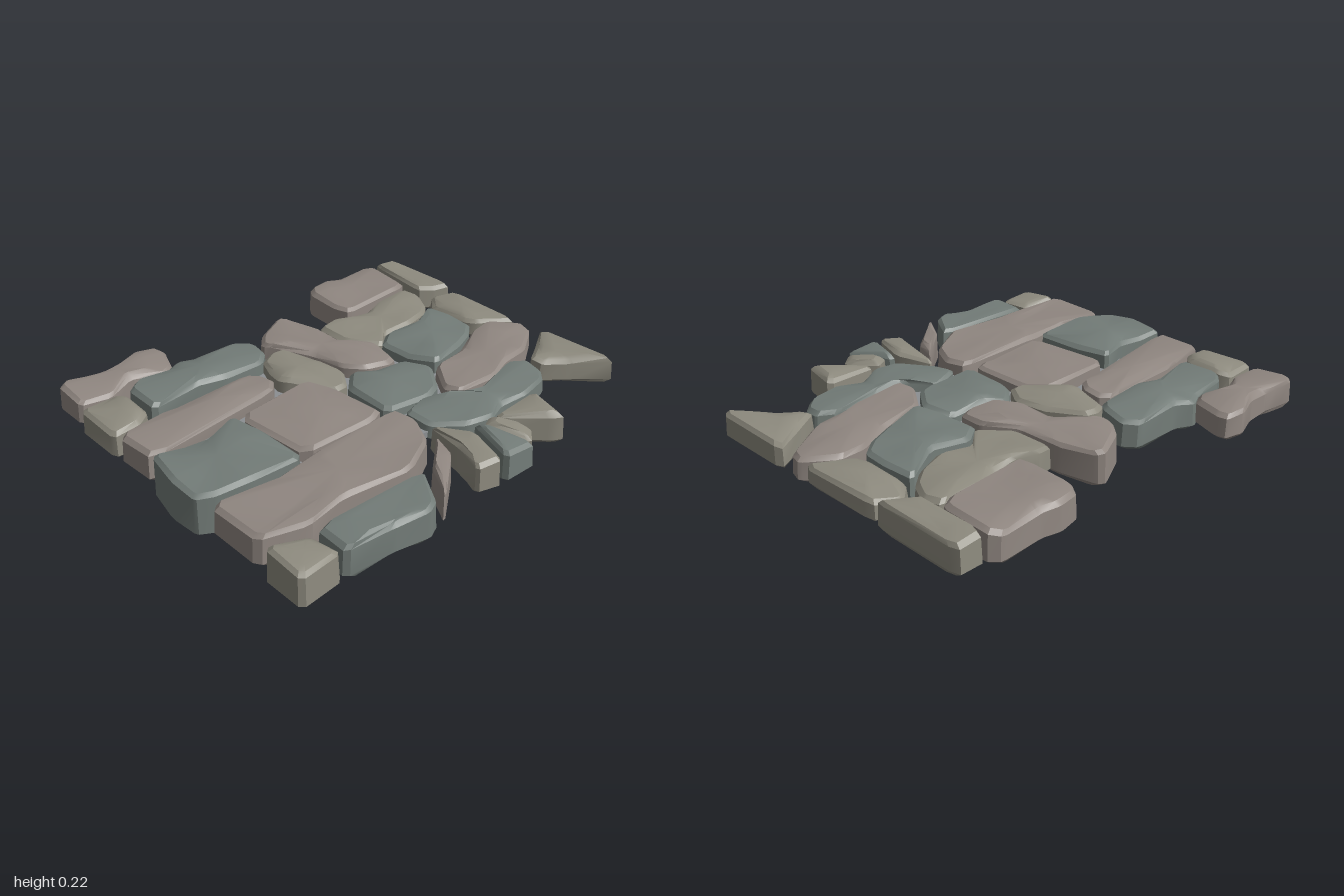
import * as THREE from 'three';
import { toCreasedNormals } from 'three/addons/utils/BufferGeometryUtils.js';

const OLIVE = 0x8d8a7e, TAN = 0x8f8680, SLATE = 0x727b77;

// Chips every outline corner and makes all outlines run the same way round
function wornOutline(flat) {
  const pts = [];
  for (let i = 0; i < flat.length; i += 2) pts.push(new THREE.Vector2(flat[i], flat[i + 1]));
  if (THREE.ShapeUtils.area(pts) < 0) pts.reverse();
  return pts.flatMap((p, i) => {
    const prev = pts.at(i - 1), next = pts[(i + 1) % pts.length];
    return [p.clone().lerp(prev, 0.1), p.clone().lerp(next, 0.1)];
  });
}

// Stone from stacked rings: undercut base, upright side, worn rim, uneven top
function stoneGeometry(flat, y0, y1, tilt = 0) {
  const outline = wornOutline(flat), n = outline.length;
  const c = outline.reduce((s, p) => s.add(p), new THREE.Vector2()).divideScalar(n);
  const inset = d => outline.map(p => {
    const v = c.clone().sub(p);
    return p.clone().addScaledVector(v, Math.min(d / v.length(), 0.5));
  });
  const wave = p => 0.007 * Math.sin(p.x * 17 + p.y * 9) + 0.004 * Math.sin(p.y * 23);
  const rings = [
    inset(0.03).map(p => [p.x, y0 + tilt * (p.y - c.y), p.y]),
    outline.map(p => [p.x, y0 + 0.02 + tilt * (p.y - c.y), p.y]),
    inset(0.006).map(p => [p.x, y1 - 0.024 + wave(p), p.y]),
    inset(0.026).map(p => [p.x, y1 - 0.008 + wave(p), p.y]),
    outline.map(p => p.clone().lerp(c, 0.45)).map(p => [p.x, y1 + wave(p), p.y]),
  ];
  const pos = rings.flat(2);
  pos.push(c.x, y0, c.y, c.x, y1 + wave(c), c.y);
  const base = rings.length * n, crown = base + 1, top = (rings.length - 1) * n, index = [];
  for (let i = 0; i < n; i++) {
    const j = (i + 1) % n;
    for (let r = 0; r < top; r += n) index.push(r + j, r + i, r + n + i, r + j, r + n + i, r + n + j);
    index.push(base, i, j, crown, top + j, top + i);
  }
  const g = new THREE.BufferGeometry();
  g.setAttribute('position', new THREE.Float32BufferAttribute(pos, 3));
  g.setIndex(index);
  return toCreasedNormals(g, 0.45);
}

export function createModel() {
  const group = new THREE.Group();
  group.name = 'stonePaving';
  const materials = {};
  const stone = (name, color, y0, y1, outline, tilt) => {
    materials[color] ??= new THREE.MeshStandardMaterial({ color });
    const mesh = new THREE.Mesh(stoneGeometry(outline, y0, y1, tilt), materials[color]);
    mesh.name = name;
    group.add(mesh);
  };

  // Back row
  stone('backLeftStone', TAN, 0.06, 0.19, [-.97, -.8, -.94, -.83, -.85, -.82, -.78, -.81, -.65, -.82, -.54, -.86,
    -.45, -.84, -.44, -.79, -.49, -.65, -.54, -.62, -.7, -.66, -.83, -.61, -.97, -.63]);
  stone('leftSquareStone', OLIVE, 0.05, 0.19, [-.99, -.6, -.81, -.61, -.78, -.56, -.79, -.38, -.86, -.33, -.99, -.33]);
  stone('backSlateStone', SLATE, 0.05, 0.2, [-.77, -.57, -.71, -.62, -.55, -.63, -.47, -.67, -.39, -.63, -.15, -.63,
    -.1, -.57, -.13, -.45, -.18, -.4, -.4, -.38, -.53, -.42, -.77, -.38]);
  stone('backTallStone', TAN, 0.045, 0.19, [-.09, -.55, -.03, -.62, .13, -.7, .16, -.68, .21, -.52, .22, -.32,
    .31, -.18, .29, -.05, .24, -.03, .12, -.05, .05, -.14, .03, -.32, -.09, -.52], 0.06);
  stone('backRightStone', TAN, 0.06, 0.2, [.4, -.77, .44, -.83, .54, -.85, .62, -.83, .82, -.84, .86, -.8, .84, -.56,
    .78, -.53, .41, -.5, .39, -.58]);
  stone('backRightEdgeStone', OLIVE, 0.07, 0.205, [.87, -.81, .99, -.81, .99, -.38, .91, -.41, .84, -.46]);

  // Middle rows
  stone('leftLongStone', TAN, 0.05, 0.19, [-.98, -.31, -.75, -.35, -.28, -.37, -.24, -.33, -.24, -.25, -.29, -.19, -.97, -.09]);
  stone('centerOliveStone', OLIVE, 0.05, 0.19, [-.24, -.24, -.22, -.32, -.18, -.42, -.11, -.45, -.05, -.44, .03, -.25,
    .04, -.11, -.03, -.01, -.09, -.01, -.23, -.2]);
  stone('rightOliveStone', OLIVE, 0.05, 0.18, [.22, -.5, .3, -.51, .4, -.48, .51, -.49, .63, -.53, .82, -.53, .84, -.45,
    .79, -.35, .72, -.29, .58, -.24, .42, -.26, .33, -.18, .22, -.32]);
  stone('rightEdgeStone', OLIVE, 0.08, 0.18, [.79, -.32, .88, -.41, .99, -.36, .99, .06, .82, -.04, .79, -.1]);
  stone('rightSlateStone', SLATE, 0.04, 0.19, [.32, -.18, .41, -.25, .6, -.23, .77, -.32, .79, -.18, .78, -.05, .7, .02,
    .58, .07, .38, .12, .33, 0]);
  stone('rightTanStone', TAN, 0.06, 0.18, [.25, .28, .35, .13, .56, .08, .75, -.01, .87, -.02, .99, .09, .97, .16,
    .79, .28, .62, .31, .5, .35, .27, .35]);
  stone('centerSlateStone', SLATE, 0.04, 0.18, [-.05, 0, .05, -.1, .13, -.04, .32, -.03, .36, .11, .26, .25, .18, .28, -.06, .26]);
  stone('leftSlateStone', SLATE, 0, 0.205, [-1.01, .1, -.97, -.09, -.86, -.08, -.72, -.06, -.56, -.11, -.53, .05, -.53, .3,
    -.8, .31, -.93, .28, -1, .24]);
  stone('leftTanStone', TAN, 0.04, 0.19, [-.54, -.12, -.15, -.16, -.08, -.05, -.07, .24, -.13, .27, -.51, .28]);

  // Front rows
  stone('rightWedgeStone', OLIVE, 0.065, 0.19, [.99, .2, .99, .64, .83, .5, .73, .42, .72, .36, .82, .3]);
  stone('frontSlateStone', SLATE, 0.07, 0.175, [0, .3, .13, .25, .24, .34, .4, .36, .65, .31, .72, .36, .71, .44, .65, .5,
    .5, .54, .36, .52, .24, .57, .12, .54, .01, .42]);
  stone('frontLongStone', TAN, 0.05, 0.19, [-.98, .3, -.73, .33, -.5, .29, -.03, .28, -.01, .38, -.08, .52, -.27, .63,
    -.6, .6, -.78, .62, -.98, .58]);
  stone('frontLeftCornerStone', OLIVE, 0.015, 0.18, [-.98, .61, -.8, .65, -.78, .8, -.98, .82]);
  stone('frontLeftSlateStone', SLATE, 0.03, 0.18, [-.77, .64, -.24, .65, -.34, .82, -.4, .85, -.56, .82, -.78, .81]);
  stone('frontTanSliver', TAN, 0.035, 0.185, [-.03, .51, -.07, .64, -.31, .83, -.22, .67, -.1, .57]);
  stone('frontOliveSliver', OLIVE, 0.035, 0.185, [.01, .43, .1, .6, .03, .81, -.08, .78, -.03, .62]);
  stone('frontSlateWedge', SLATE, 0.04, 0.185, [.12, .57, .15, .58, .23, .81, .05, .81]);
  stone('frontSmallWedge', OLIVE, 0.04, 0.185, [.16, .59, .22, .56, .3, .68, .3, .73, .23, .79, .16, .63]);
  stone('frontTriangleStone', OLIVE, 0.04, 0.185, [.23, .57, .51, .55, .46, .77, .42, .75]);

  // Mortar bed showing in the joints
  const bed = new THREE.Shape([[-.7, -.36], [-.2, -.5], [.2, -.4], [.7, -.35], [.75, .2], [.5, .4], [0, .42], [-.7, .4]]
    .map(([x, z]) => new THREE.Vector2(x, -z)));
  const mortar = new THREE.Mesh(
    new THREE.ExtrudeGeometry(bed, { depth: 0.03, bevelEnabled: false }).rotateX(-Math.PI / 2).translate(0, 0.09, 0),
    new THREE.MeshStandardMaterial({ color: 0x8c8f92 }));
  mortar.name = 'mortarBed';
  group.add(mortar);
  return group;
}
